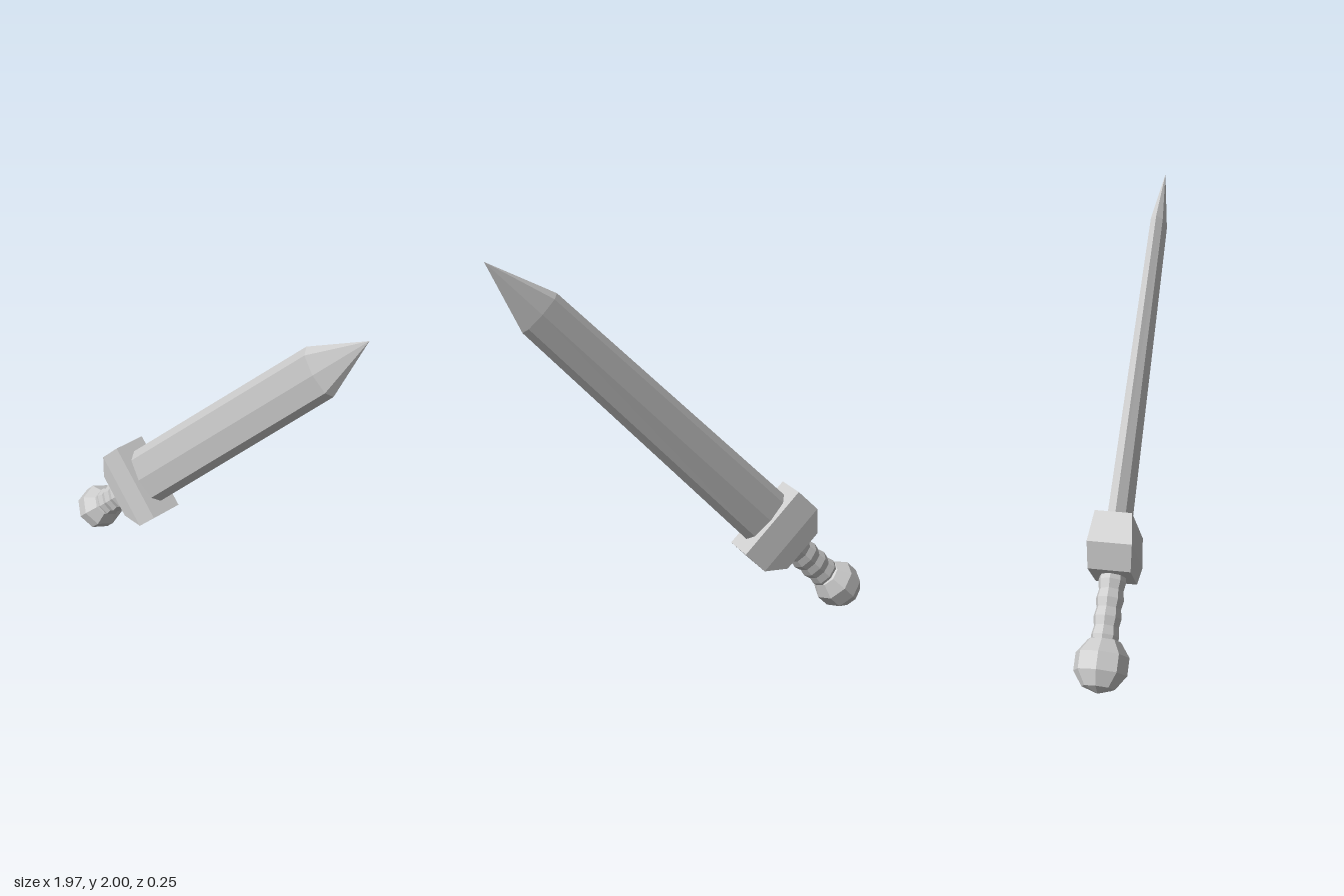
import * as THREE from 'three';

const material = new THREE.MeshStandardMaterial({ color: 0xcccccc, flatShading: true, side: THREE.DoubleSide });

// Cross-sections, as [x, z] corners at unit size
const octagon = Array.from({ length: 8 }, (_, i) => [Math.cos(i * Math.PI / 4), Math.sin(i * Math.PI / 4)]);
const bladeSection = [[1, 0], [0.75, 0.7], [0, 1], [-0.75, 0.7], [-1, 0], [-0.75, -0.7], [0, -1], [0.75, -0.7]];
const rectangle = [[1, -1], [1, 1], [-1, 1], [-1, -1]];

// Skins a section through stations [y, halfWidth, halfDepth, xOffset] and caps both ends
function loft(section, stations) {
  const positions = [];
  const rings = stations.map(([y, w, d, x = 0]) => section.map(([sx, sz]) => [x + sx * w, y, sz * d]));
  const n = section.length;
  const tri = (...corners) => corners.forEach((c) => positions.push(...c));
  for (let k = 0; k < rings.length - 1; k++) {
    const a = rings[k], b = rings[k + 1];
    for (let i = 0; i < n; i++) {
      const j = (i + 1) % n;
      tri(a[i], b[i], a[j]);
      if (stations[k + 1][1] > 0) tri(a[j], b[i], b[j]);
    }
  }
  const cap = (ring, [y, w, , x = 0], top) => {
    if (w === 0) return;
    for (let i = 0; i < n; i++) {
      const p = ring[i], q = ring[(i + 1) % n];
      if (top) tri([x, y, 0], q, p);
      else tri([x, y, 0], p, q);
    }
  };
  cap(rings[0], stations[0], false);
  cap(rings.at(-1), stations.at(-1), true);
  const geometry = new THREE.BufferGeometry();
  geometry.setAttribute('position', new THREE.Float32BufferAttribute(positions, 3));
  geometry.computeVertexNormals();
  return geometry;
}

export function createModel() {
  const sword = new THREE.Group();
  sword.name = 'sword';
  const add = (name, geometry) => {
    const mesh = new THREE.Mesh(geometry, material);
    mesh.name = name;
    sword.add(mesh);
    return mesh;
  };

  // Tapering blade with a central ridge and bevelled edges
  add('blade', loft(bladeSection, [
    [-0.6, 0.152, 0.061, -0.003],
    [1.065, 0.117, 0.045, -0.01],
    [1.4, 0, 0, -0.014],
  ]));

  // Blocky guard, chamfered towards the grip
  add('guard', loft(rectangle, [
    [-0.82, 0.122, 0.1, 0.004],
    [-0.715, 0.212, 0.104, 0.003],
    [-0.568, 0.211, 0.087, 0.002],
  ]));

  // Grip with alternating swells and grooves
  const gripStations = [];
  for (let i = 0; i <= 8; i++) {
    const swell = i % 2 ? 1 : 0.88;
    gripStations.push([-1.14 + i * 0.0425, 0.083 * swell, 0.066 * swell, 0.01]);
  }
  add('grip', loft(octagon, gripStations));

  // Faceted ball pommel
  add('pommel', new THREE.SphereGeometry(0.131, 8, 5)).position.set(0.007, -1.223, 0);

  // Lean the sword diagonally
  sword.rotation.z = -Math.PI / 4;
  sword.position.y = 1;
  const model = new THREE.Group();
  model.add(sword);
  return model;
}
